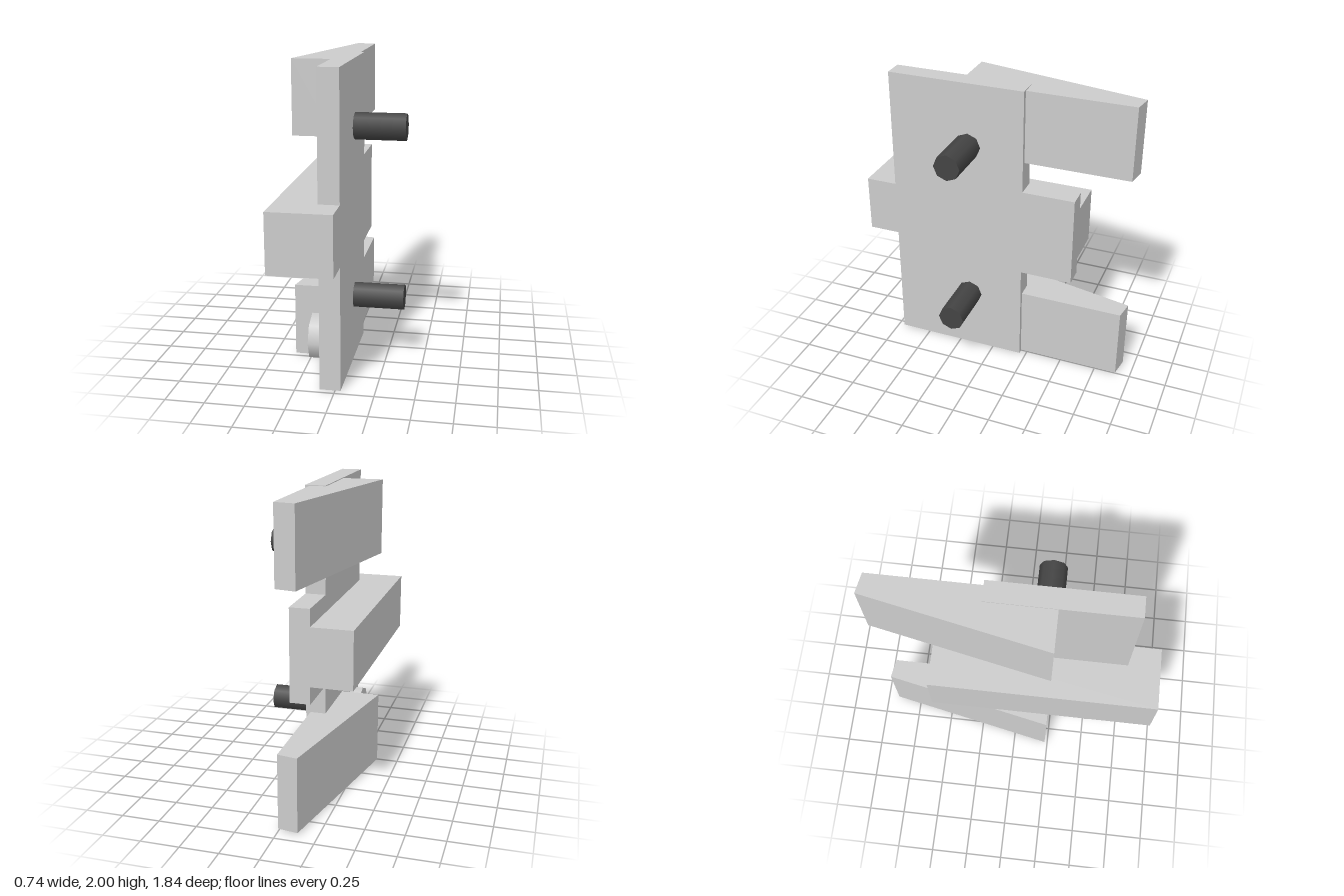
import * as THREE from 'three';

const grey = new THREE.MeshStandardMaterial({ color: 0xcccccc });
const dark = new THREE.MeshStandardMaterial({ color: 0x444444 });

export function createModel() {
  const model = new THREE.Group();

  const add = (name, geometry, material = grey) => {
    const mesh = new THREE.Mesh(geometry, material);
    mesh.name = name;
    model.add(mesh);
    return mesh;
  };

  // Extrudes an outline of [x, z] points upwards from y0 to y1
  const prism = (points, y0, y1) => {
    const shape = new THREE.Shape(points.map(([x, z]) => new THREE.Vector2(x, -z)));
    return new THREE.ExtrudeGeometry(shape, { depth: y1 - y0, bevelEnabled: false })
      .rotateX(-Math.PI / 2).translate(0, y0, 0);
  };

  // Eight-sided rod along x
  const rod = (radius, x0, x1, y, z) =>
    new THREE.CylinderGeometry(radius, radius, x1 - x0, 8)
      .rotateZ(-Math.PI / 2).translate((x0 + x1) / 2, y, z);

  // Upright plate with a tab at the back and one at the front, drawn in (-z, y)
  const outline = [
    [-0.71, 0], [0.205, 0], [0.205, 0.695], [0.555, 0.695], [0.555, 1.31], [0.205, 1.31],
    [0.205, 2], [-0.71, 2], [-0.71, 1.195], [-0.92, 1.195], [-0.92, 0.81], [-0.71, 0.81],
  ].map(([u, y]) => new THREE.Vector2(u, y));
  const plate = new THREE.ExtrudeGeometry(new THREE.Shape(outline), { depth: 0.133, bevelEnabled: false });
  add('plate', plate.rotateY(Math.PI / 2).translate(-0.098, 0, 0));

  // Long bar across the middle of the inner side
  add('centreBar', new THREE.BoxGeometry(0.272, 0.385, 1.475).translate(-0.234, 1.0025, 0.1825));

  // Tapered arms pointing backwards
  const wedge = [[-0.36, 0.23], [-0.09, 0.23], [-0.09, -0.19], [0.005, -0.19], [0.005, -0.9], [-0.125, -0.922]];
  add('lowerArm', prism(wedge, 0.01, 0.5));
  add('upperArm', prism(wedge, 1.508, 1.995));

  // Pins on the outer side
  for (const [name, y] of [['lowerPin', 0.437], ['upperPin', 1.573]]) {
    add(name, rod(0.088, 0.03, 0.367, y, 0.173), dark);
  }

  // Knob on the inner side
  add('knob', rod(0.15, -0.18, -0.09, 0.28, 0.52));

  return model;
}
